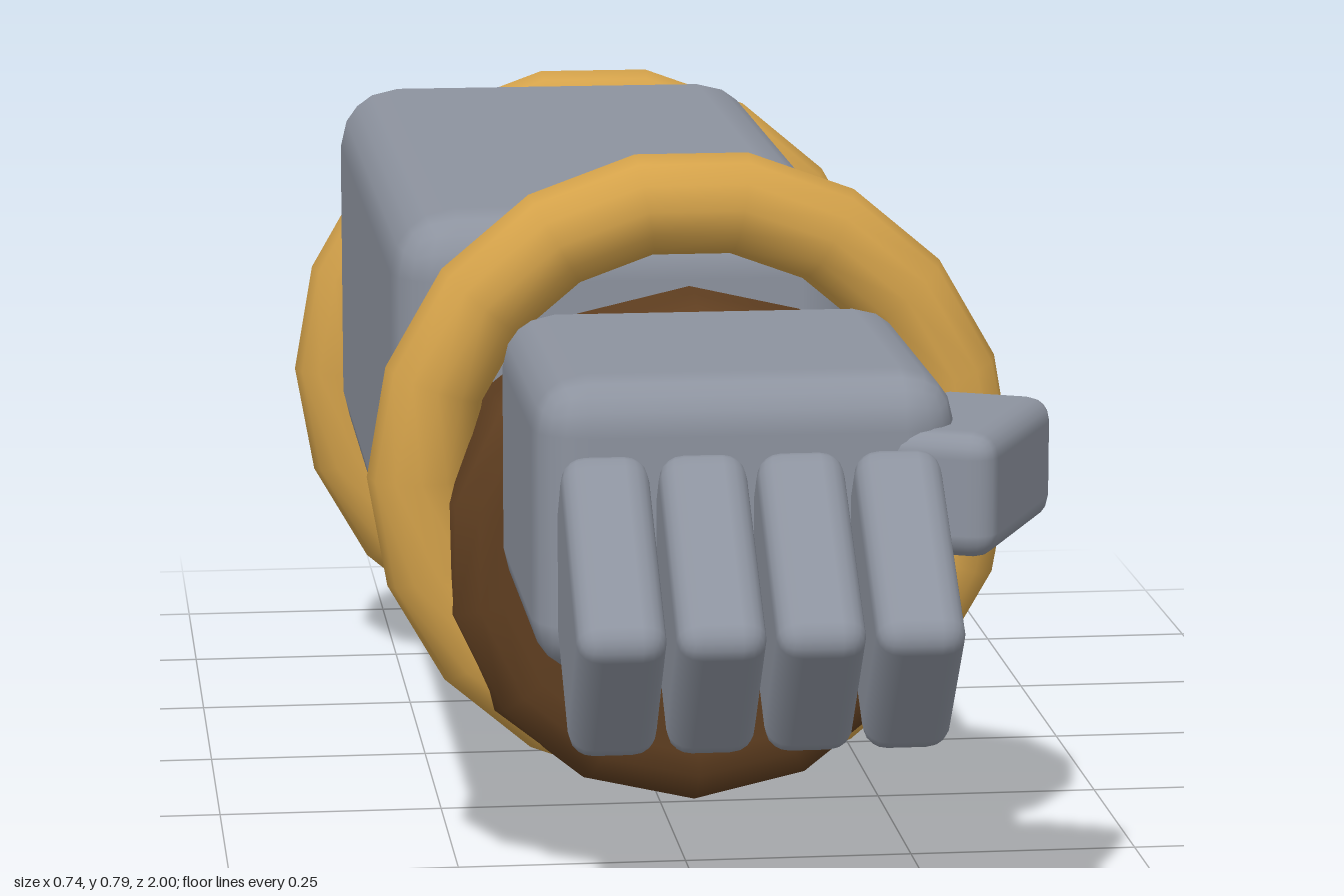
import * as THREE from 'three';
import { RoundedBoxGeometry } from 'three/addons/geometries/RoundedBoxGeometry.js';

export function createModel() {
  const model = new THREE.Group();
  model.name = 'gauntletArm';

  const material = (name, color) => {
    const m = new THREE.MeshStandardMaterial({ color });
    m.name = name;
    return m;
  };
  const brown = material('brown leather', 0x5f3e20);
  const gold = material('gold metal', 0xd4a24a);
  const grey = material('grey steel', 0x8d939f);

  const add = (name, geometry, mat, x, y, z, parent = model) => {
    const mesh = new THREE.Mesh(geometry, mat);
    mesh.name = name;
    mesh.position.set(x, y, z);
    parent.add(mesh);
    return mesh;
  };
  const block = (w, h, d, r) => new RoundedBoxGeometry(w, h, d, 2, r);

  // Forearm: a 14-sided barrel with bevelled ends, lying along z
  const profile = [
    [0, -0.69], [0.215, -0.69], [0.24, -0.687], [0.266, -0.672], [0.277, -0.64],
    [0.277, 0.64], [0.266, 0.672], [0.24, 0.687], [0.215, 0.69], [0, 0.69],
  ].map(([x, y]) => new THREE.Vector2(x, y));
  const barrel = new THREE.LatheGeometry(profile, 14);
  barrel.rotateX(Math.PI / 2);
  add('forearm', barrel, brown, 0, 0.369, -0.31);

  // Rings: the rear one is centred on the forearm, the front one sits higher
  add('rearRing', new THREE.TorusGeometry(0.317, 0.055, 12, 18), gold, 0, 0.367, -0.755);
  add('frontRing', new THREE.TorusGeometry(0.294, 0.055, 12, 18), gold, 0, 0.449, 0.3);

  // Armour block, offset to one side of the forearm
  add('armourPlate', block(0.507, 0.443, 1.04, 0.07), grey, -0.0625, 0.502, -0.24);

  // Fist
  const hand = new THREE.Group();
  hand.name = 'hand';
  model.add(hand);
  add('palm', block(0.425, 0.303, 0.44, 0.055), grey, 0, 0.491, 0.58, hand);

  // Four fingers sloping forward and down
  for (let i = 0; i < 4; i++) {
    const finger = add('finger' + (i + 1), block(0.088, 0.19, 0.25, 0.025), grey,
      (i - 1.5) * 0.0973, 0.43, 0.853, hand);
    finger.rotation.x = THREE.MathUtils.degToRad(39);
  }

  // Thumb angled in towards the fingers
  const thumb = add('thumb', block(0.13, 0.127, 0.24, 0.025), grey, 0.228, 0.525, 0.706, hand);
  thumb.rotation.y = THREE.MathUtils.degToRad(-25);

  return model;
}
